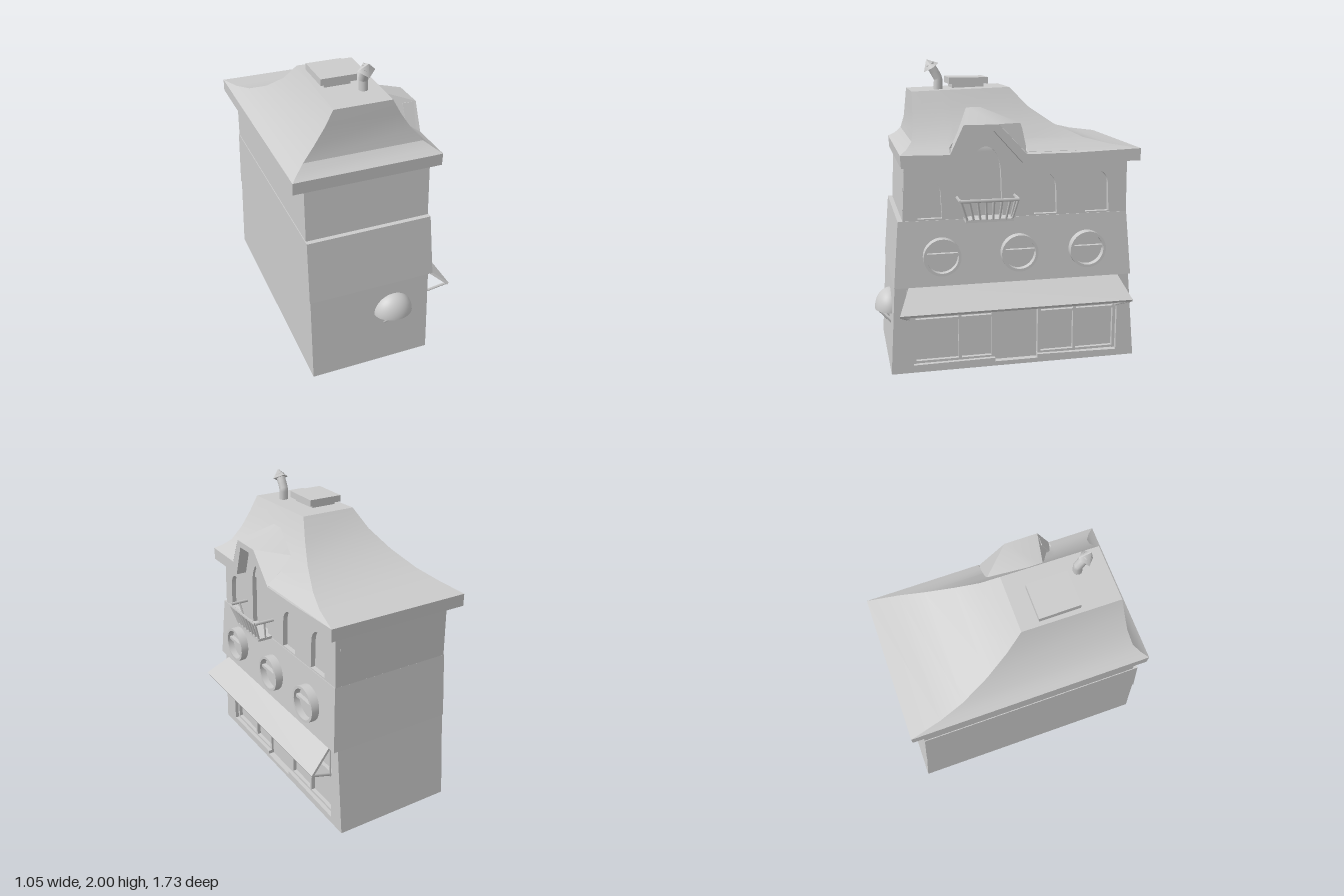
import * as THREE from 'three';
import { toCreasedNormals } from 'three/addons/utils/BufferGeometryUtils.js';

const grey = new THREE.MeshStandardMaterial({ color: 0xcccccc });
const thin = new THREE.MeshStandardMaterial({ color: 0xcccccc, side: THREE.DoubleSide });
const V = (x, y, z) => new THREE.Vector3(x, y, z);

export function createModel() {
  const root = new THREE.Group();

  const add = (name, geo, mat = grey, parent = root) => {
    const m = new THREE.Mesh(geo, mat);
    m.name = name;
    parent.add(m);
    return m;
  };
  const group = (name) => {
    const g = new THREE.Group();
    g.name = name;
    root.add(g);
    return g;
  };
  // box given by its limits
  const block = (name, x0, x1, y0, y1, z0, z1, parent) => {
    const g = new THREE.BoxGeometry(x1 - x0, y1 - y0, z1 - z0);
    g.translate((x0 + x1) / 2, (y0 + y1) / 2, (z0 + z1) / 2);
    return add(name, g, grey, parent);
  };
  // straight rod between two points
  const rod = (name, a, b, r, parent, sides = 4) => {
    const m = add(name, new THREE.CylinderGeometry(r, r, a.distanceTo(b), sides), grey, parent);
    m.position.copy(a).lerp(b, 0.5);
    m.quaternion.setFromUnitVectors(V(0, 1, 0), b.clone().sub(a).normalize());
    return m;
  };
  // surface from polygons, each fanned into triangles
  const surface = (polys) => {
    const p = [];
    for (const f of polys)
      for (let i = 1; i < f.length - 1; i++) for (const v of [f[0], f[i], f[i + 1]]) p.push(v.x, v.y, v.z);
    const g = new THREE.BufferGeometry();
    g.setAttribute('position', new THREE.Float32BufferAttribute(p, 3));
    return toCreasedNormals(g, 0.45);
  };
  // corners of a ring [y, x0, x1, z0, z1, yFront]
  const corners = ([y, x0, x1, z0, z1, yf = y]) => [V(x0, yf, z1), V(x1, yf, z1), V(x1, y, z0), V(x0, y, z0)];
  const loftFaces = (rings, skip = -1) => {
    const c = rings.map(corners);
    const faces = [[...c[0]].reverse(), c[c.length - 1]];
    for (let i = 0; i < c.length - 1; i++)
      for (let j = 0; j < 4; j++) {
        const k = (j + 1) % 4;
        if (j !== skip) faces.push([c[i][j], c[i][k], c[i + 1][k], c[i + 1][j]]);
      }
    return faces;
  };
  const loft = (name, rings) => add(name, surface(loftFaces(rings)));
  // plate drawn in (z, y) and extruded along x
  const path = (pts, C) => new C(pts.map(([z, y]) => new THREE.Vector2(-z, y)));
  const plate = (name, pts, x0, x1, holes = [], parent) => {
    const s = path(pts, THREE.Shape);
    s.holes = holes;
    const g = new THREE.ExtrudeGeometry(s, { depth: x1 - x0, bevelEnabled: false, curveSegments: 24 });
    g.rotateY(Math.PI / 2).translate(x0, 0, 0);
    return add(name, g, grey, parent);
  };

  // ground floor with a recessed shop front
  loft('groundFloorBody', [[0, -0.455, 0.29, -0.865, 0.785], [0.6, -0.455, 0.29, -0.81, 0.75]]);
  const opening = [[0.64, 0.44], [0.64, 0.05], [0.1, 0.055], [0.1, 0.03], [-0.19, 0.03], [-0.19, 0.055], [-0.74, 0.045], [-0.74, 0.44]];
  plate('groundFloorFacade', [[0.785, 0], [-0.865, 0], [-0.81, 0.6], [0.75, 0.6]], 0.29, 0.355, [path(opening, THREE.Path)]);
  const shop = group('shopWindows');
  for (const [a, b, m] of [[0.1, 0.64, 0.33], [-0.74, -0.195, -0.45]]) {
    block('windowGlass', 0.285, 0.305, 0.05, 0.44, a, b, shop);
    for (const z of [a + 0.01, m, b - 0.01]) block('windowMullion', 0.3, 0.33, 0.05, 0.44, z - 0.01, z + 0.01, shop);
    for (const y of [0.06, 0.345, 0.43]) block('windowRail', 0.3, 0.33, y - 0.008, y + 0.008, a, b, shop);
  }
  block('door', 0.28, 0.315, 0.03, 0.44, -0.19, 0.1);

  // sloping shop awning and its brackets
  const awning = group('awning');
  const sheet = [V(0.355, 0.59, 0.66), V(0.525, 0.455, 0.735), V(0.525, 0.455, -0.785), V(0.355, 0.59, -0.73)];
  const under = sheet.map((v) => v.clone().add(V(-0.008, -0.016, 0)));
  const sides = sheet.map((v, i) => [sheet[i], under[i], under[(i + 1) % 4], sheet[(i + 1) % 4]]);
  add('awningSheet', surface([sheet, [...under].reverse(), ...sides]), thin, awning);
  for (const [z, w] of [[0.72, 0.67], [-0.77, -0.73]]) {
    rod('awningArm', V(0.515, 0.445, z), V(0.35, 0.37, w), 0.009, awning);
    rod('awningWallBar', V(0.357, 0.57, w), V(0.357, 0.36, w), 0.007, awning);
  }

  // middle floor, slightly overhanging
  loft('middleFloor', [[0.59, -0.46, 0.385, -0.815, 0.755], [1.015, -0.46, 0.36, -0.78, 0.72]]);
  for (const z of [0.45, -0.05, -0.505]) {
    const w = group('roundWindow');
    const ring = new THREE.Shape().absarc(0, 0, 0.12, 0, Math.PI * 2);
    ring.holes.push(new THREE.Path().absarc(0, 0, 0.102, 0, Math.PI * 2));
    const g = new THREE.ExtrudeGeometry(ring, { depth: 0.065, bevelEnabled: false, curveSegments: 24 });
    add('windowRing', toCreasedNormals(g.rotateY(Math.PI / 2), 0.5), grey, w);
    block('windowBar', 0, 0.05, 0.004, 0.024, -0.103, 0.103, w);
    add('windowPane', new THREE.CylinderGeometry(0.105, 0.105, 0.025, 32).rotateZ(Math.PI / 2).translate(0.01, 0, 0), grey, w);
    w.position.set(0.36, 0.785, z);
  }

  // top floor with arched windows under a gable
  loft('topFloorBody', [[1, -0.455, 0.325, -0.78, 0.69], [1.4, -0.455, 0.325, -0.775, 0.67]]);
  plate('gableBacking', [[0.36, 1.36], [-0.09, 1.36], [0.1, 1.59], [0.28, 1.59]], 0.29, 0.325);
  const arch = (z, w, y1, tall) => {
    const p = new THREE.Path();
    const spring = y1 - tall;
    p.moveTo(-z - w, 1.025);
    p.lineTo(-z + w, 1.025);
    p.lineTo(-z + w * 0.9, spring);
    p.bezierCurveTo(-z + w * 0.75, y1 + tall * 0.3, -z - w * 0.75, y1 + tall * 0.3, -z - w * 0.9, spring);
    p.lineTo(-z - w, 1.025);
    return p;
  };
  plate('topFloorFacade',
    [[0.69, 1.0], [-0.78, 1.0], [-0.775, 1.38], [-0.09, 1.38], [0.11, 1.59], [0.28, 1.59], [0.36, 1.38], [0.67, 1.38]],
    0.325, 0.356,
    [arch(0.517, 0.077, 1.275, 0.085), arch(0.16, 0.108, 1.475, 0.16), arch(-0.23, 0.077, 1.29, 0.085), arch(-0.578, 0.08, 1.295, 0.085)]);

  // flared balcony
  const balcony = group('balcony');
  block('balconyFloor', 0.35, 0.455, 1.01, 1.028, 0.0, 0.305, balcony);
  const top = [V(0.355, 1.155, 0.345), V(0.49, 1.155, 0.345), V(0.49, 1.155, -0.025), V(0.355, 1.155, -0.025)];
  for (let i = 0; i < 3; i++) rod('balconyRail', top[i], top[i + 1], 0.011, balcony);
  for (let i = 0; i <= 7; i++) {
    const t = i / 7;
    rod('baluster', V(0.447, 1.02, 0.01 + 0.285 * t), V(0.488, 1.155, -0.02 + 0.36 * t), 0.008, balcony);
  }
  for (const [a, b] of [[0.297, 0.34], [0.008, -0.02]]) rod('sideBaluster', V(0.4, 1.02, a), V(0.42, 1.155, b), 0.007, balcony);

  // eaves, with a cornice stepping up around the gable
  loft('eaves', [[1.36, -0.53, 0.34, -0.84, 0.695], [1.44, -0.53, 0.34, -0.84, 0.7]]);
  plate('cornice', [[0.695, 1.36], [0.35, 1.36], [0.275, 1.575], [0.12, 1.575], [-0.07, 1.365], [-0.84, 1.36],
    [-0.84, 1.44], [-0.4, 1.425], [-0.09, 1.425], [0.09, 1.615], [0.31, 1.615], [0.395, 1.435], [0.7, 1.44]], 0.335, 0.425);

  // concave hipped roof; the facade slope is drawn back where the gable stands
  const rings = [
    [1.44, -0.53, 0.425, -0.84, 0.7],
    [1.47, -0.485, 0.38, -0.64, 0.655],
    [1.51, -0.437, 0.327, -0.48, 0.618],
    [1.595, -0.365, 0.255, -0.3, 0.6],
    [1.7, -0.295, 0.185, -0.15, 0.595],
    [1.82, -0.24, 0.13, -0.04, 0.59, 1.8],
  ];
  const roof = loftFaces(rings, 1).slice(1);
  const columns = rings.map(([y, , x1, z0, z1, yf = y]) =>
    [z1, 0.395, 0.355, -0.05, -0.09, z0].map((c, j) => {
      const z = THREE.MathUtils.clamp(c, z0, z1);
      const x = j === 2 || j === 3 ? Math.min(x1, 0.345) : x1;
      return V(x, THREE.MathUtils.mapLinear(z, z0, z1, y, yf), z);
    }));
  for (let i = 0; i < columns.length - 1; i++)
    for (let j = 0; j < 5; j++)
      roof.push([columns[i][j], columns[i][j + 1], columns[i + 1][j + 1], columns[i + 1][j]]);
  add('roof', surface(roof), thin);

  // dormer roof over the gable
  const rA = V(0.17, 1.705, 0.25), rB = V(0.17, 1.705, 0.165);
  const fA = V(0.425, 1.617, 0.31), fB = V(0.425, 1.617, 0.09);
  const low = V(0.425, 1.425, -0.092), back = V(0.245, 1.6, -0.092);
  add('dormerRoof', surface([
    [rA, fA, fB, rB],
    [rA, V(0.425, 1.435, 0.397), fA],
    [rB, fB, back],
    [fB, low, back],
  ]), thin);

  // roof hatch
  block('hatchBase', -0.19, -0.02, 1.79, 1.84, 0.1, 0.31);
  block('hatchLid', -0.22, 0.01, 1.835, 1.877, 0.075, 0.335);

  // bent stove pipe with a pointed cap
  const pipe = new THREE.CurvePath();
  const bend = [V(0.02, 1.78, 0.41), V(0.02, 1.87, 0.405), V(0.02, 1.91, 0.425), V(0.02, 1.965, 0.46)];
  for (let i = 0; i < 3; i++) pipe.add(new THREE.LineCurve3(bend[i], bend[i + 1]));
  add('stovePipe', new THREE.TubeGeometry(pipe, 12, 0.029, 10), thin);
  const cap = add('pipeCap', new THREE.ConeGeometry(0.056, 0.062, 4));
  cap.position.set(0.02, 1.969, 0.465);
  cap.rotation.x = 0.55;

  // domed canopy on the end wall
  const canopy = group('endCanopy');
  const dome = add('canopyDome', new THREE.SphereGeometry(0.13, 24, 10, Math.PI, Math.PI, 0, Math.PI / 2), thin, canopy);
  dome.rotation.y = Math.PI;
  dome.scale.set(1, 1.04, 0.8);
  dome.position.set(0.105, 0.375, 0.762);
  for (const s of [-1, 1])
    rod('canopyArm', V(0.105 + s * 0.06, 0.378, 0.845), V(0.105 + s * 0.06, 0.285, 0.76), 0.006, canopy);

  return root;
}
